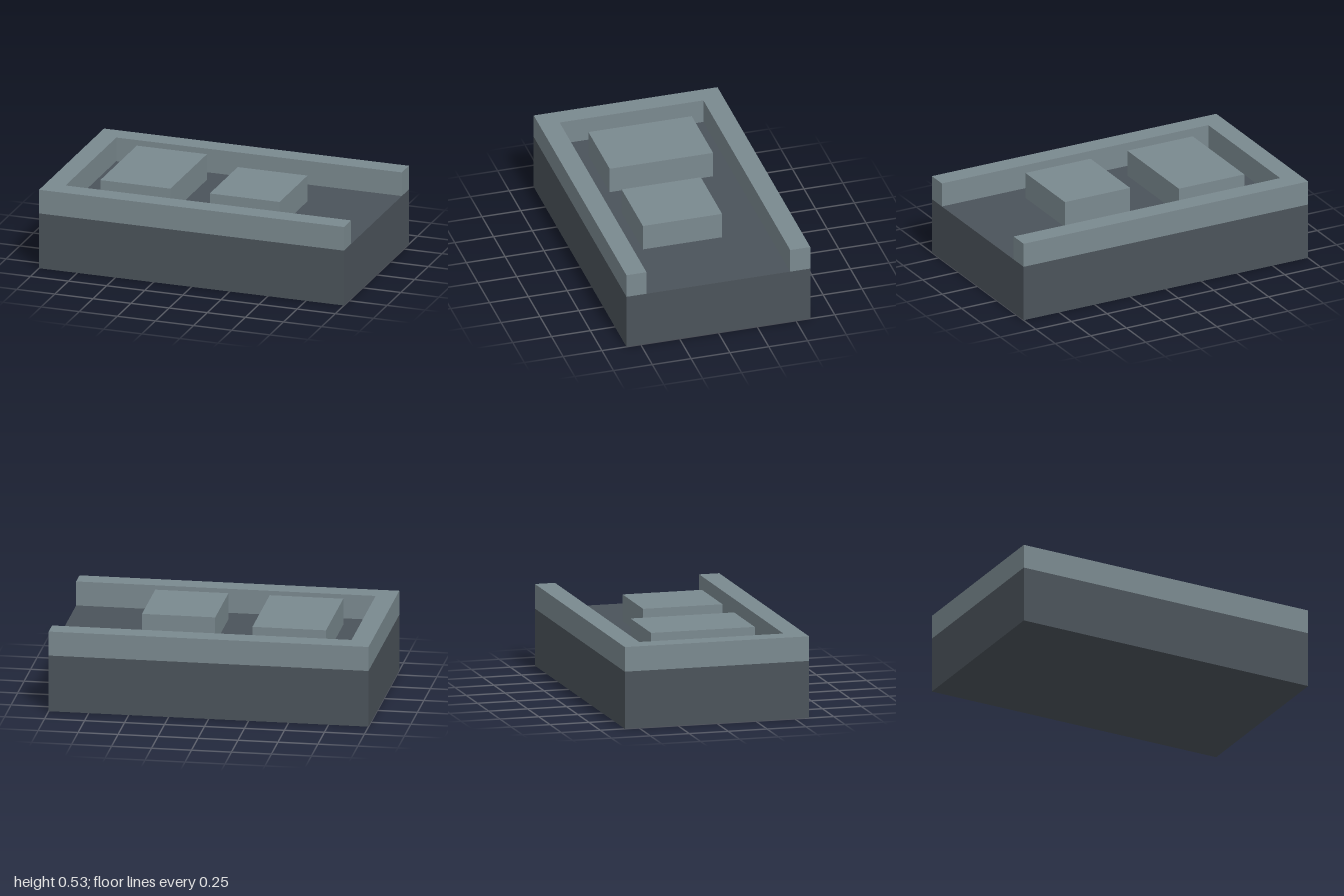
import * as THREE from 'three';

const dark = new THREE.MeshStandardMaterial({ color: 0x4b535a });
const light = new THREE.MeshStandardMaterial({ color: 0x7a898f });
const HALF_DEPTH = 0.592, DECK = 0.36, RIM_TOP = 0.515, PAD_TOP = 0.528;

// Box given by its extents along each axis
function block(name, material, [x0, x1], [y0, y1], [z0, z1]) {
  const mesh = new THREE.Mesh(new THREE.BoxGeometry(x1 - x0, y1 - y0, z1 - z0), material);
  mesh.position.set((x0 + x1) / 2, (y0 + y1) / 2, (z0 + z1) / 2);
  mesh.name = name;
  return mesh;
}

export function createModel() {
  const model = new THREE.Group();
  model.name = 'walledPlatform';

  // Solid slab
  model.add(block('base', dark, [-1, 1], [0, DECK], [-HALF_DEPTH, HALF_DEPTH]));

  // U-shaped parapet, open toward +x
  const inner = 0.463, wallX = -0.873;
  const outline = new THREE.Shape([
    [-1, -HALF_DEPTH], [1, -HALF_DEPTH], [1, -inner], [wallX, -inner],
    [wallX, inner], [1, inner], [1, HALF_DEPTH], [-1, HALF_DEPTH],
  ].map(([x, y]) => new THREE.Vector2(x, y)));
  const rimGeometry = new THREE.ExtrudeGeometry(outline, { depth: RIM_TOP - DECK, bevelEnabled: false });
  rimGeometry.rotateX(-Math.PI / 2);
  const rim = new THREE.Mesh(rimGeometry, light);
  rim.position.y = DECK;
  rim.name = 'parapet';
  model.add(rim);

  // Raised blocks on the deck
  model.add(block('largeBlock', light, [-0.692, -0.232], [DECK, PAD_TOP], [-0.334, 0.332]));
  model.add(block('smallBlock', light, [0.026, 0.484], [DECK, PAD_TOP], [-0.178, 0.332]));

  return model;
}
